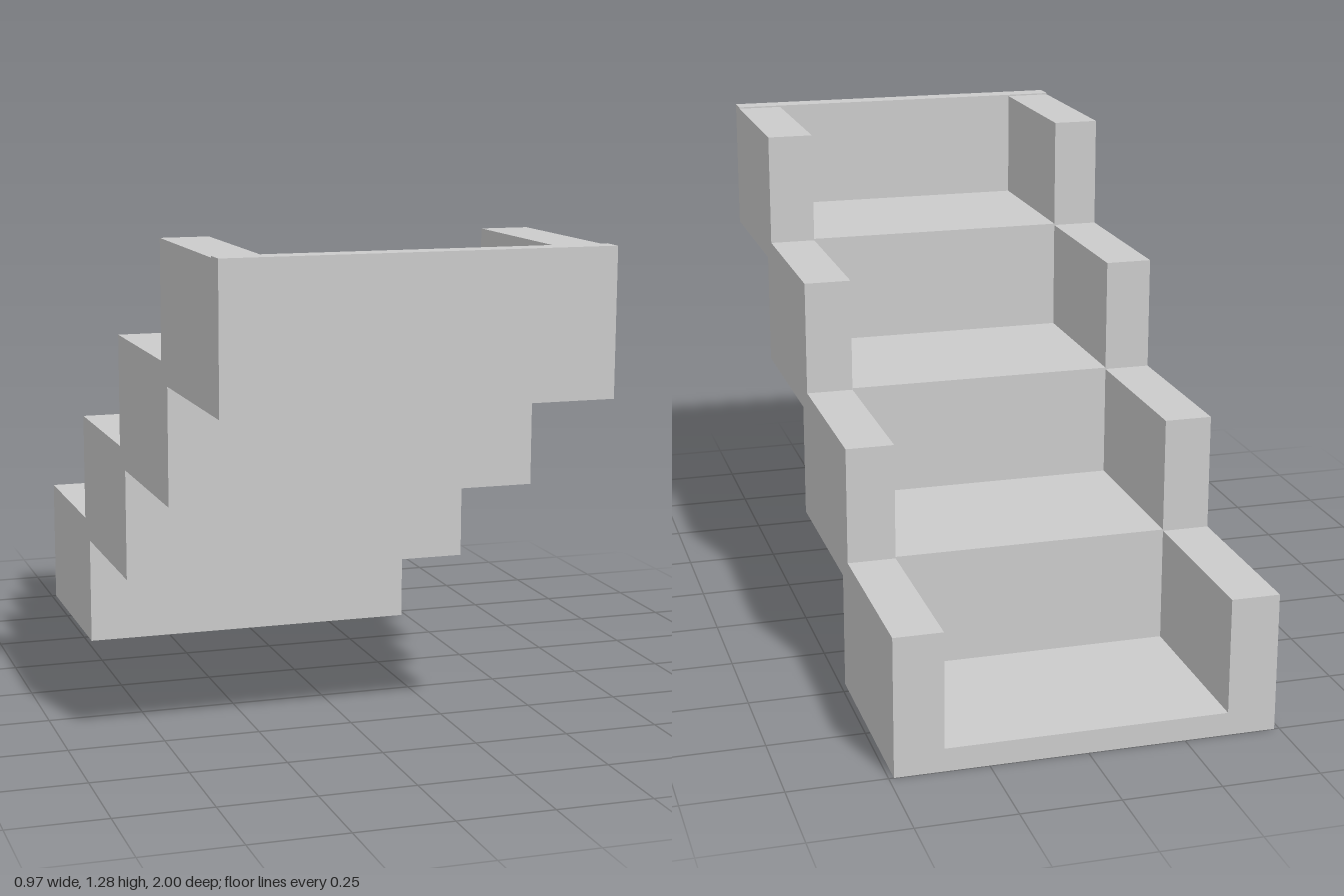
import * as THREE from 'three';

const STEPS = 4;
const RUN = 0.485, RISE = 0.305;      // pitch from one step to the next
const DEPTH = 0.545, HEIGHT = 0.361;  // size of one step module
const HALF_WIDTH = 0.487, INNER = 0.362, THICK = 0.06;

// Stepped outline in (z, y): lower edge climbs to the front, upper edge returns.
// top = height of the upper edge above each module's base, front = top at the front panel
function stairProfile(top, inset, front) {
  const pts = [];
  for (let i = 0; i < STEPS; i++) {
    const z = -1 + i * RUN;
    pts.push([i ? z + THICK : z, i * RISE], [z + DEPTH, i * RISE]);
  }
  if (front) pts.push([1, front], [1 - THICK, front]);
  for (let i = STEPS - 1; i >= 0; i--) {
    const z = -1 + i * RUN;
    const end = i === STEPS - 1 ? z + DEPTH - inset : z + RUN;
    pts.push([end, i * RISE + top], [z, i * RISE + top]);
  }
  return new THREE.Shape(pts.map(([z, y]) => new THREE.Vector2(z, y)));
}

// Extrude a (z, y) profile across x from x0 to x1
function slab(name, shape, x0, x1, material) {
  const geo = new THREE.ExtrudeGeometry(shape, { depth: x1 - x0, bevelEnabled: false });
  geo.rotateY(-Math.PI / 2);
  geo.translate(x1, 0, 0);
  const mesh = new THREE.Mesh(geo, material);
  mesh.name = name;
  return mesh;
}

export function createModel() {
  const group = new THREE.Group();
  group.name = 'steppedTray';
  const material = new THREE.MeshStandardMaterial({ color: 0xcccccc });

  // Thick stepped side walls
  const wall = stairProfile(HEIGHT, 0, 0);
  group.add(slab('leftWall', wall, INNER, HALF_WIDTH, material));
  group.add(slab('rightWall', wall, -HALF_WIDTH, -INNER, material));

  // Thin floors and risers between the walls, ending in the tall front panel
  const floor = stairProfile(THICK, THICK, 3 * RISE + HEIGHT);
  group.add(slab('floorsAndRisers', floor, -INNER, INNER, material));

  // Slightly raised lip along the front edge
  const lip = new THREE.Mesh(new THREE.BoxGeometry(2 * HALF_WIDTH, 0.004, THICK), material);
  lip.name = 'frontLip';
  lip.position.set(0, 3 * RISE + HEIGHT + 0.002, 1 - THICK / 2);
  group.add(lip);

  return group;
}
